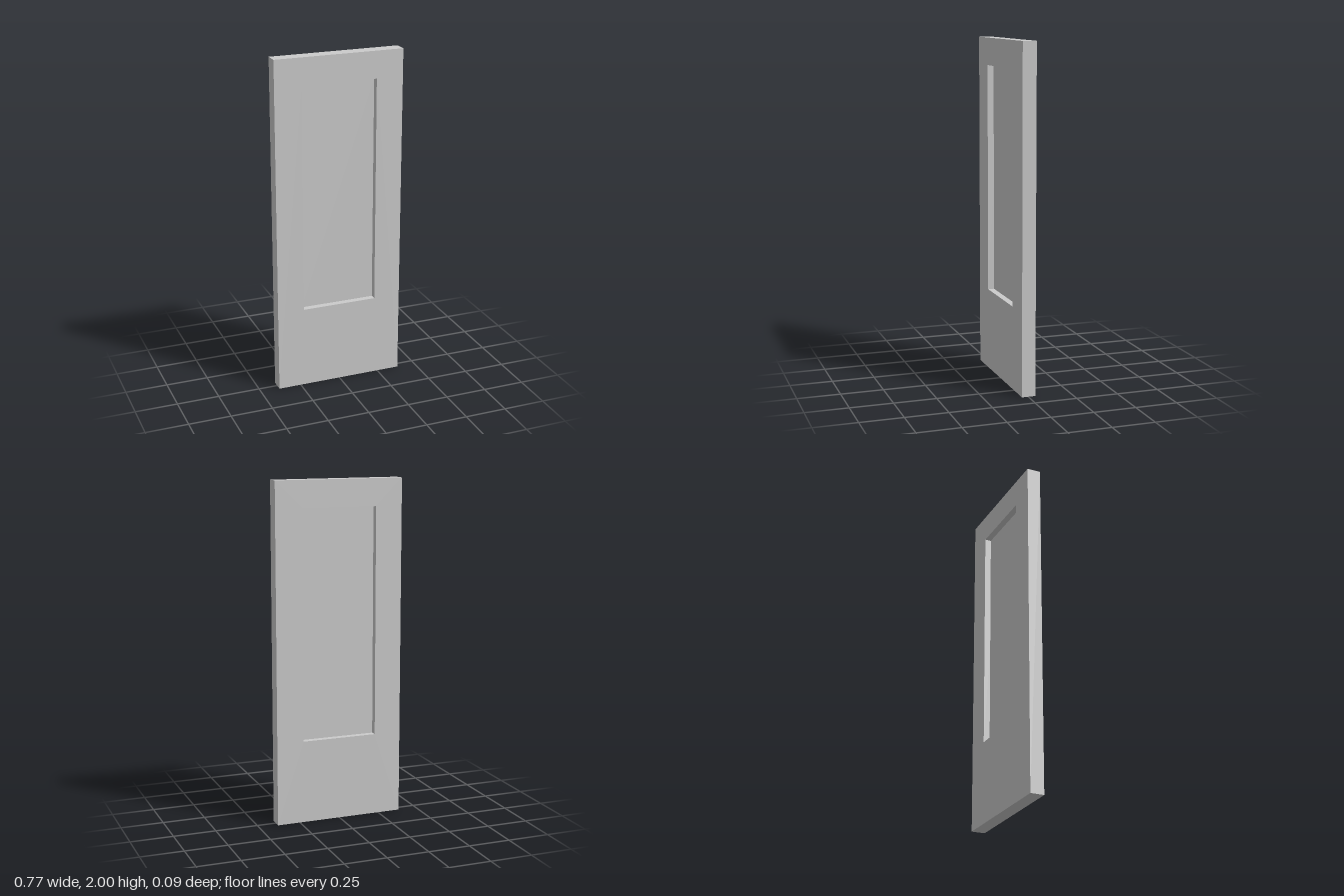
import * as THREE from 'three';

const WIDTH = 0.772, HEIGHT = 2, DEPTH = 0.081;
const OPENING = { width: 0.45, bottom: 0.49, top: 1.84 };

// Adds a rectangle to a shape or path, anticlockwise from its lower left corner
function rectangle(path, width, bottom, top) {
  const x = width / 2;
  path.moveTo(-x, bottom);
  path.lineTo(x, bottom);
  path.lineTo(x, top);
  path.lineTo(-x, top);
  path.closePath();
  return path;
}

export function createModel() {
  const model = new THREE.Group();
  model.name = 'door';
  const material = new THREE.MeshStandardMaterial({ color: 0xcccccc, flatShading: true });

  // Door leaf with a rectangular opening
  const outline = rectangle(new THREE.Shape(), WIDTH, 0, HEIGHT);
  outline.holes.push(rectangle(new THREE.Path(), OPENING.width, OPENING.bottom, OPENING.top));
  const leafGeometry = new THREE.ExtrudeGeometry(outline, { depth: DEPTH, bevelEnabled: false });
  leafGeometry.translate(0, 0, -DEPTH / 2);
  const leaf = new THREE.Mesh(leafGeometry, material);
  leaf.name = 'doorLeaf';

  // Thin pane set midway through the opening, recessed on both faces
  const paneHeight = OPENING.top - OPENING.bottom;
  const pane = new THREE.Mesh(new THREE.BoxGeometry(OPENING.width, paneHeight, 0.006), material);
  pane.name = 'windowPane';
  pane.position.y = OPENING.bottom + paneHeight / 2;

  // The door stands very slightly ajar
  const door = new THREE.Group();
  door.name = 'doorAssembly';
  door.rotation.y = 0.006;
  door.add(leaf, pane);
  model.add(door);
  return model;
}
